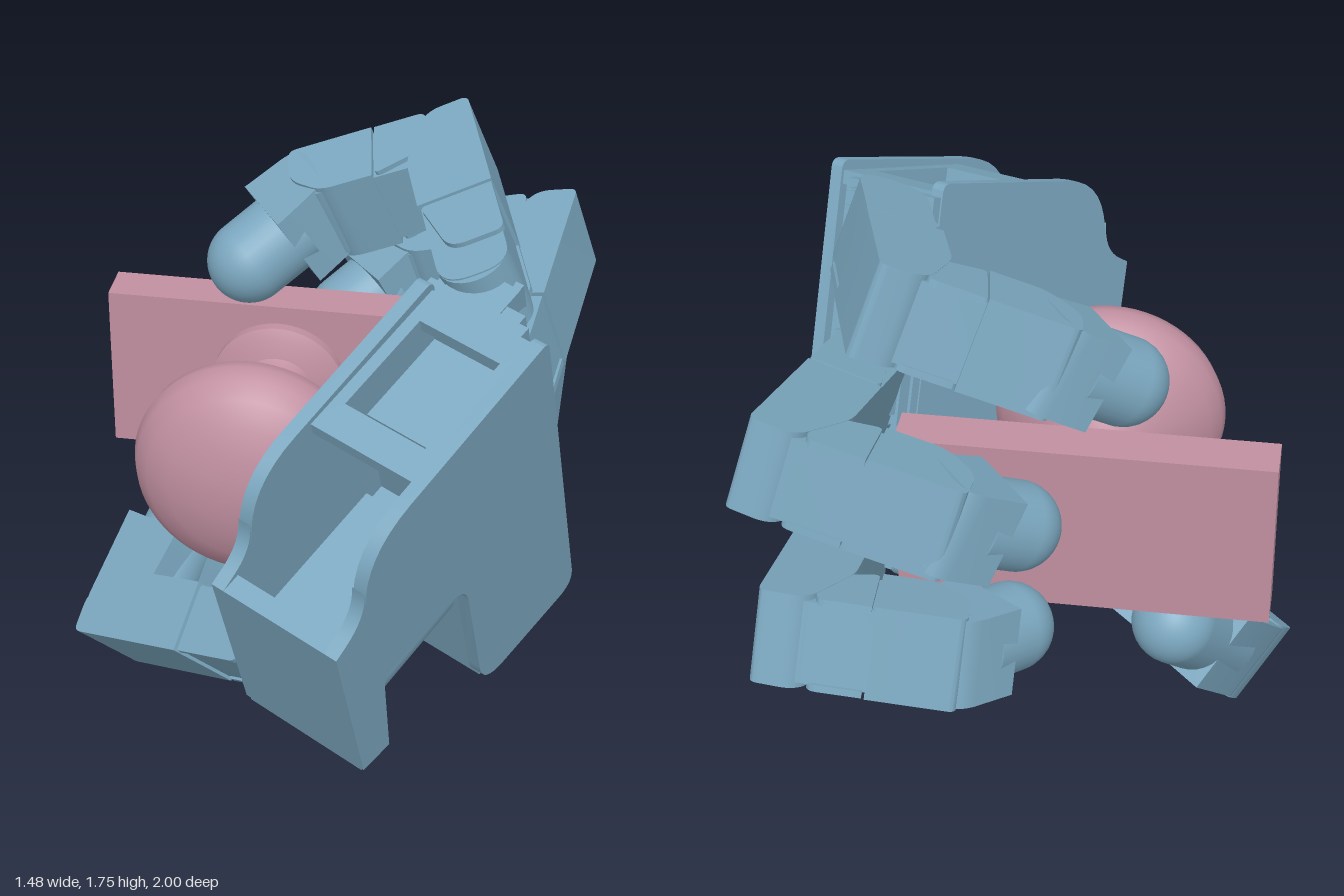
import * as THREE from 'three';
import { toCreasedNormals } from 'three/addons/utils/BufferGeometryUtils.js';

const V = (x, y, z) => new THREE.Vector3(x, y, z);
const handMat = new THREE.MeshStandardMaterial({ color: 0x7ba7bf });
const knobMat = new THREE.MeshStandardMaterial({ color: 0xc08fa0 });

function add(parent, name, geo, mat = handMat, pos = [0, 0, 0]) {
  const m = new THREE.Mesh(geo, mat);
  m.name = name;
  m.position.set(...pos);
  parent.add(m);
  return m;
}

// Box given by its limits on each axis
function block(parent, name, x0, x1, y0, y1, z0, z1) {
  add(parent, name, new THREE.BoxGeometry(x1 - x0, y1 - y0, z1 - z0), handMat,
    [(x0 + x1) / 2, (y0 + y1) / 2, (z0 + z1) / 2]);
}

// Polygon with rounded corners; each point is [x, y, radius]
function roundedShape(pts) {
  const s = new THREE.Shape();
  pts.forEach(([x, y, r], i) => {
    const p = new THREE.Vector2(x, y);
    const toward = (q) => new THREE.Vector2(q[0], q[1]).sub(p).setLength(r || 0).add(p);
    const a = toward(pts[(i + pts.length - 1) % pts.length]);
    const b = toward(pts[(i + 1) % pts.length]);
    if (i === 0) s.moveTo(a.x, a.y); else s.lineTo(a.x, a.y);
    if (r) s.quadraticCurveTo(x, y, b.x, b.y);
  });
  s.closePath();
  return s;
}

// Extrusion centred on z = 0
function slab(shape, thick) {
  const g = new THREE.ExtrudeGeometry(shape, { depth: thick, bevelEnabled: false, curveSegments: 8 });
  g.translate(0, 0, -thick / 2);
  return toCreasedNormals(g, 0.6);
}

// Group at a, x along the link, y to the inside of the bend, z across
function linkFrame(parent, name, a, b, axis) {
  const g = new THREE.Group();
  const x = b.clone().sub(a).normalize();
  const y = axis.clone().cross(x).normalize();
  g.quaternion.setFromRotationMatrix(new THREE.Matrix4().makeBasis(x, y, x.clone().cross(y)));
  g.position.copy(a);
  g.name = name;
  parent.add(g);
  return g;
}

const W = 0.255, D = 0.1;

function hinge(g) {
  add(g, 'hinge', new THREE.CylinderGeometry(D, D, W - 0.03, 28).rotateX(Math.PI / 2));
}

// Link: core, slightly larger shell on the far half, cheek plates near the start
function link(parent, name, a, b, axis, start, end) {
  const g = linkFrame(parent, name, a, b, axis);
  const L = a.distanceTo(b);
  add(g, 'linkCore', slab(roundedShape([
    [-start, -D, 0.08], [L + end, -D, 0.025], [L + end, D, 0.1], [-start, D, 0.09],
  ]), W - 0.02));
  add(g, 'linkShell', slab(roundedShape([
    [L * 0.48, -D - 0.01], [L + end + 0.01, -D - 0.01, 0.025], [L + end + 0.01, D * 0.2, 0.05],
    [L * 0.86, D + 0.006, 0.04], [L * 0.48, D + 0.006],
  ]), W + 0.012));
  for (const s of [-1, 1]) {
    const cheek = add(g, 'cheekPlate', slab(roundedShape([
      [L * 0.08, -D - 0.008, 0.03], [L * 0.46, -D - 0.008], [L * 0.46, D, 0.02], [L * 0.08, D * 0.5, 0.05],
    ]), 0.02));
    cheek.position.z = s * (W / 2 - 0.005);
  }
  hinge(g);
}

// Square socket carrying a domed cylinder
function fingertip(parent, a, b, axis, socket) {
  const g = linkFrame(parent, 'fingertip', a, b, axis);
  const L = a.distanceTo(b), r = 0.123;
  add(g, 'socket', slab(roundedShape([
    [-0.07, -D, 0.06], [0, -D - 0.012], [socket, -D - 0.02], [socket, D + 0.02], [-0.05, D, 0.06],
  ]), W));
  hinge(g);
  add(g, 'pad', new THREE.CylinderGeometry(r, r, L - 0.08, 32).rotateZ(Math.PI / 2), handMat, [L / 2 + 0.04, 0, 0]);
  add(g, 'dome', new THREE.SphereGeometry(r, 32, 16, 0, Math.PI * 2, 0, Math.PI / 2).rotateZ(-Math.PI / 2),
    handMat, [L, 0, 0]);
}

function buildPalm(root) {
  // x runs to the fingers, y across the knuckles, z to the back of the hand
  const palm = new THREE.Group();
  palm.name = 'palm';
  const n = V(0.87, -0.13, 0.48).normalize();
  const f = V(-0.056, 0.92, 0.387).cross(n).normalize();
  palm.quaternion.setFromRotationMatrix(new THREE.Matrix4().makeBasis(f, n.clone().cross(f), n));
  root.add(palm);

  // Two side plates with the thumb notch
  const outline = roundedShape([
    [-0.36, 0.62], [-0.25, 0.6], [-0.215, 0.91, 0.04], [0.145, 0.89, 0.08], [0.145, 0.35, 0.1],
    [0.59, 0.32, 0.07], [0.59, 1.48, 0.03], [-0.2, 1.46, 0.2], [-0.23, 1.24, 0.09], [-0.36, 1.2],
  ]);
  for (const z of [0.53, 0.155]) add(palm, 'palmPlate', slab(outline, 0.04), handMat, [0, 0, z]);

  // Walls and filling between the plates
  block(palm, 'wristWall', -0.36, -0.3, 0.61, 1.2, 0.15, 0.54);
  block(palm, 'wristFloor', -0.31, 0.2, 0.9, 0.96, 0.15, 0.54);
  block(palm, 'core', 0.26, 0.56, 0.9, 1.26, 0.15, 0.54);
  block(palm, 'lowerCore', 0.16, 0.57, 0.37, 0.92, 0.15, 0.53);

  // Top cover with a rectangular opening
  const cover = roundedShape([[0.06, 0.15], [0.58, 0.15], [0.58, 0.54], [0.06, 0.54]]);
  cover.holes.push(roundedShape([[0.16, 0.21], [0.16, 0.47], [0.48, 0.47], [0.48, 0.21]]));
  add(palm, 'topCover', slab(cover, 0.04).rotateX(Math.PI / 2), handMat, [0, 1.43, 0]);

  // Thumb motor lying in the notch
  add(palm, 'thumbMotor', new THREE.CylinderGeometry(0.13, 0.13, 0.44, 32).rotateZ(Math.PI / 2), handMat, [-0.06, 0.74, 0.35]);
  block(palm, 'thumbMount', -0.12, 0.1, 0.46, 0.72, 0.1, 0.3);

  // Knuckle rail and stepped brackets
  block(palm, 'knuckleRail', 0.56, 0.62, 0.36, 1.44, 0.14, 0.46);
  for (const u of [1.31, 0.9, 0.49]) {
    block(palm, 'bracket', 0.58, 0.66, u - 0.11, u + 0.11, 0.15, 0.42);
    block(palm, 'knuckle', 0.6, 0.76, u - 0.08, u + 0.08, 0.16, 0.34);
    for (const s of [-1, 1]) {
      const c = u + s * 0.09;
      block(palm, 'bracketEar', 0.58, 0.72, c - 0.025, c + 0.025, 0.18, 0.36);
    }
  }
}

export function createModel() {
  const root = new THREE.Group();
  root.name = 'grippingHand';
  buildPalm(root);

  // Joints of each finger: knuckle, elbow, end joint, tip centre
  const fingers = [
    ['upperFinger', V(0.46, 1.475, 0.04), V(0.305, 1.562, -0.475), V(-0.08, 1.42, -0.445), V(-0.26, 1.285, -0.33)],
    ['middleFinger', V(0.49, 1.04, -0.05), V(0.565, 1.2, -0.7), V(0.15, 1.09, -0.73), V(-0.01, 0.98, -0.6)],
    ['lowerFinger', V(0.515, 0.61, -0.23), V(0.515, 0.787, -0.86), V(0.13, 0.74, -0.835), V(0, 0.69, -0.67)],
  ];
  for (const [name, k, e, j, t] of fingers) {
    const g = new THREE.Group();
    g.name = name;
    root.add(g);
    const axis = e.clone().sub(k).cross(j.clone().sub(e)).normalize();
    link(g, 'firstLink', k, e, axis, 0.08, 0.1);
    link(g, 'secondLink', e, j, axis, 0.09, 0.03);
    fingertip(g, j, t, axis, 0.13);
  }

  // Thumb: one long link and a long tip
  const thumb = new THREE.Group();
  thumb.name = 'thumb';
  root.add(thumb);
  const b = V(-0.04, 0.375, 0.28), e = V(-0.56, 0.18, -0.03), t = V(-0.42, 0.465, -0.31);
  const axis = e.clone().sub(b).cross(t.clone().sub(e)).normalize();
  link(thumb, 'thumbLink', b, e, axis, 0.12, 0.1);
  fingertip(thumb, e, t, axis, 0.28);

  // Turned knob on its mounting plate
  const profile = [
    [0, -0.36], [0.2, -0.36], [0.2, -0.31], [0.17, -0.295], [0.115, -0.28], [0.1, -0.25], [0.1, -0.17], [0.115, -0.13],
    [0.16, -0.08], [0.24, -0.01], [0.3, 0.05], [0.328, 0.09], [0.335, 0.13], [0.32, 0.175],
    [0.28, 0.22], [0.21, 0.262], [0.12, 0.289], [0.05, 0.299], [0, 0.3],
  ].map(([r, z]) => new THREE.Vector2(r, z));
  add(root, 'knob', toCreasedNormals(new THREE.LatheGeometry(profile, 64).rotateX(Math.PI / 2), 0.7), knobMat, [-0.175, 0.875, 0]);
  add(root, 'mountingPlate', new THREE.BoxGeometry(1.03, 0.51, 0.13), knobMat, [-0.175, 0.875, -0.405]);
  return root;
}
